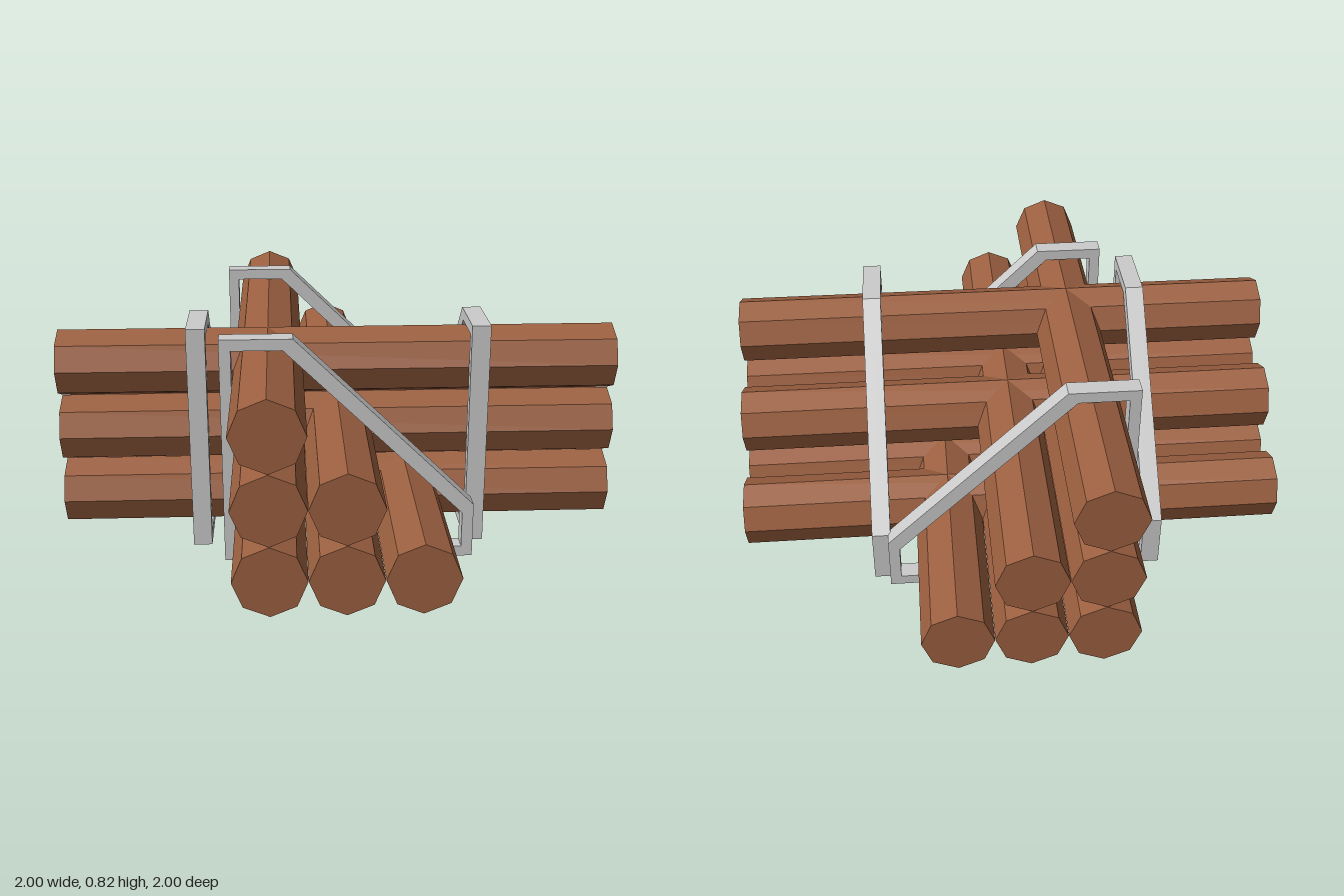
import * as THREE from 'three';

const wood = new THREE.MeshStandardMaterial({ color: 0x9c6040, flatShading: true });
const metal = new THREE.MeshStandardMaterial({ color: 0xcccccc, flatShading: true });

const LOG_RADIUS = 0.123;
const LOG_SPACING = 0.247;
const FRAME_DEPTH = 0.067;

const points = (list) => list.map(([x, y]) => new THREE.Vector2(x, y));

// Five-sided bracket: upright, short flat top, sloped side, short post
function frameGeometry() {
  const shape = new THREE.Shape(points([
    [-0.414, 0], [0.472, 0], [0.472, 0.2], [-0.163, 0.822], [-0.414, 0.822],
  ]));
  shape.holes.push(new THREE.Path(points([
    [-0.374, 0.037], [-0.374, 0.782], [-0.198, 0.782], [0.432, 0.168], [0.432, 0.037],
  ])));
  const geometry = new THREE.ExtrudeGeometry(shape, { depth: FRAME_DEPTH, bevelEnabled: false });
  return geometry.translate(0, 0, -FRAME_DEPTH / 2);
}

// Stepped stack of logs along z, held by two brackets
function createPile(name, frameOffsets) {
  const pile = new THREE.Group();
  pile.name = name;

  const logGeometry = new THREE.CylinderGeometry(LOG_RADIUS, LOG_RADIUS, 2, 8).rotateX(Math.PI / 2);
  for (let row = 0; row < 3; row++) {
    for (let column = 0; column < 3 - row; column++) {
      const log = new THREE.Mesh(logGeometry, wood);
      log.name = 'log';
      log.position.set(-0.25 + column * LOG_SPACING, 0.163 + row * LOG_SPACING, 0);
      pile.add(log);
    }
  }

  const bracket = frameGeometry();
  for (const z of frameOffsets) {
    const frame = new THREE.Mesh(bracket, metal);
    frame.name = 'bracketFrame';
    frame.position.z = z;
    pile.add(frame);
  }
  return pile;
}

export function createModel() {
  const model = new THREE.Group();
  model.name = 'crossedLogPiles';

  const lengthwise = createPile('lengthwisePile', [-0.503, 0.49]);

  // Second pile is turned a quarter to cross the first
  const crosswise = createPile('crosswisePile', [-0.5, 0.497]);
  crosswise.rotation.y = Math.PI / 2;
  crosswise.position.z = -0.02;

  model.add(lengthwise, crosswise);
  return model;
}
